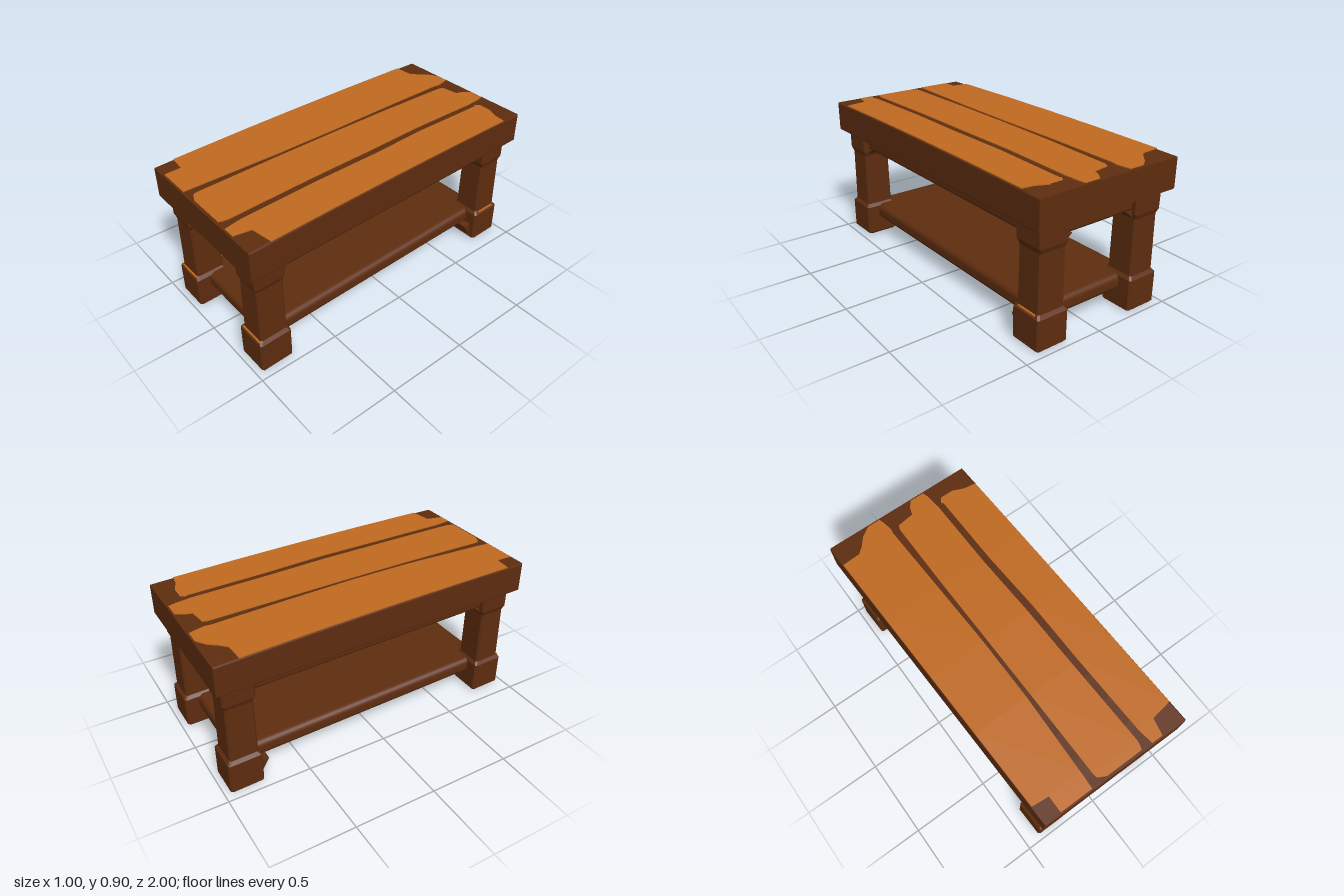
import * as THREE from 'three';
import { RoundedBoxGeometry } from 'three/addons/geometries/RoundedBoxGeometry.js';

const SHEAR = 0.028; // the whole table leans slightly along its length

// Skin a list of point rows with flat quads
function loft(rows) {
  const pos = [];
  for (let i = 0; i < rows.length - 1; i++) {
    for (let j = 0; j < rows[i].length - 1; j++) {
      const a = rows[i][j], b = rows[i + 1][j], c = rows[i + 1][j + 1], d = rows[i][j + 1];
      pos.push(...a, ...b, ...c, ...a, ...c, ...d);
    }
  }
  const geo = new THREE.BufferGeometry();
  geo.setAttribute('position', new THREE.Float32BufferAttribute(pos, 3));
  geo.computeVertexNormals();
  return geo;
}

// Square ring with clipped corners
function ring(y, h) {
  const k = h - Math.min(h, 0.01);
  return [[h, -k], [h, k], [k, h], [-k, h], [-h, k], [-h, -k], [-k, -h], [k, -h], [h, -k]]
    .map(([x, z]) => [x, y, z]);
}

// Triangular prism, reaching w sideways and h vertically from its corner
function wedge(w, h, depth) {
  const shape = new THREE.Shape([[0, 0], [w, 0], [0, h]].map(p => new THREE.Vector2(...p)));
  return new THREE.ExtrudeGeometry(shape, { depth, bevelEnabled: false }).translate(0, 0, -depth / 2);
}

const topY = z => 0.888 + 0.01 * (1 - z * z);

export function createModel() {
  const table = new THREE.Group();
  table.name = 'table';
  const dark = new THREE.MeshStandardMaterial({ color: 0x5e2d0f });
  dark.name = 'darkWood';
  const light = new THREE.MeshStandardMaterial({ color: 0xc06a20 });
  light.name = 'lightWood';

  function add(name, geo, mat, x = 0, y = 0, z = 0, shear = SHEAR) {
    geo.translate(x, y, z);
    const p = geo.attributes.position;
    for (let i = 0; i < p.count; i++) p.setX(i, p.getX(i) + shear * p.getZ(i));
    const mesh = new THREE.Mesh(geo, mat);
    mesh.name = name;
    table.add(mesh);
  }

  // Thick top with a gentle lengthwise bow
  const b = 0.008, profile = [[-1 + b, 0.706 + b], [1 - b, 0.706 + b]];
  for (let i = 0; i <= 12; i++) {
    const z = (1 - b) * (1 - i / 6);
    profile.push([z, topY(z) - b]);
  }
  const slab = new THREE.ExtrudeGeometry(new THREE.Shape(profile.map(p => new THREE.Vector2(...p))), {
    depth: 0.944 - 2 * b, bevelEnabled: true, bevelSize: b, bevelThickness: b, bevelSegments: 2,
  });
  slab.rotateY(-Math.PI / 2);
  add('tabletop', slab, dark, 0.472 - b);

  // Light planks, worn away at the corners: rows of [z, left x, right x]
  const planks = [
    [[-0.99, -0.24, -0.16], [-0.95, -0.3, -0.15], [-0.9, -0.34, -0.14], [-0.865, -0.38, -0.145],
      [-0.86, -0.492, -0.145], [-0.4, -0.479, -0.13], [0, -0.468, -0.117], [0.4, -0.457, -0.115],
      [0.88, -0.443, -0.13], [0.89, -0.34, -0.13], [0.99, -0.34, -0.135]],
    [[-0.99, 0.06, 0.15], [-0.95, 0.03, 0.16], [-0.905, 0.015, 0.165], [-0.89, -0.09, 0.165],
      [-0.86, -0.1, 0.17], [-0.4, -0.1, 0.175], [0, -0.095, 0.192], [0.4, -0.09, 0.2],
      [0.93, -0.085, 0.215], [0.96, -0.08, 0.21], [0.985, -0.03, 0.2]],
    [[-0.9, 0.22, 0.3], [-0.87, 0.2, 0.37], [-0.86, 0.21, 0.443], [-0.4, 0.215, 0.456],
      [0, 0.235, 0.467], [0.4, 0.24, 0.478], [0.87, 0.255, 0.491], [0.89, 0.255, 0.36],
      [0.99, 0.27, 0.34]],
  ];
  for (const plank of planks) {
    const rows = plank.map(([z, l, r]) => {
      const y = topY(z);
      return [[l, y - 0.002, z], [l, y + 0.005, z], [r, y + 0.005, z], [r, y - 0.002, z]];
    });
    add('plank', loft(rows), light, 0, 0, 0, 0);
  }

  // Legs with a square foot, slimmer shaft and flared head
  const legX = 0.329, legZ = 0.863;
  const legProfile = [[0, 0], [0, 0.092], [0.012, 0.102], [0.196, 0.102], [0.216, 0.086],
    [0.56, 0.083], [0.59, 0.094], [0.715, 0.095], [0.715, 0]];
  for (const sx of [-1, 1]) {
    for (const sz of [-1, 1]) {
      const x = sx * legX, z = sz * legZ;
      add('leg', loft(legProfile.map(([y, h]) => ring(y, h))), dark, x, 0, z);
      // Corner brace under the end rail
      add('brace', wedge(-sx * 0.055, -0.05, 0.13), dark, x - sx * 0.08, 0.61, z);
      // Brace under the side rail at the front, under the shelf at the back
      const side = sz > 0 ? wedge(-0.055, -0.05, 0.12) : wedge(0.06, -0.1, 0.12);
      side.rotateY(-Math.PI / 2);
      add('brace', side, dark, x, sz > 0 ? 0.61 : 0.11, z - sz * (sz > 0 ? 0.07 : 0.095));
      // Worn light edge on the foot shoulder
      if (sz > 0) {
        const worn = new THREE.BoxGeometry(0.16, 0.009, 0.009);
        add('wornEdge', worn, light, x, 0.209, z + 0.092);
      } else if (sx > 0) {
        add('wornEdge', new THREE.BoxGeometry(0.009, 0.009, 0.13), light, x + 0.092, 0.209, z);
      }
    }
  }

  // Rails under the top
  for (const s of [-1, 1]) {
    add('endRail', new RoundedBoxGeometry(2 * legX, 0.115, 0.12, 3, 0.025), dark, 0, 0.662, s * legZ);
    add('sideRail', new RoundedBoxGeometry(0.12, 0.115, 2 * legZ, 3, 0.025), dark, s * legX, 0.662, 0);
  }

  // Lower shelf with softened edges
  add('shelf', new RoundedBoxGeometry(0.7, 0.1, 1.76, 3, 0.035), dark, 0, 0.155, 0);

  return table;
}
